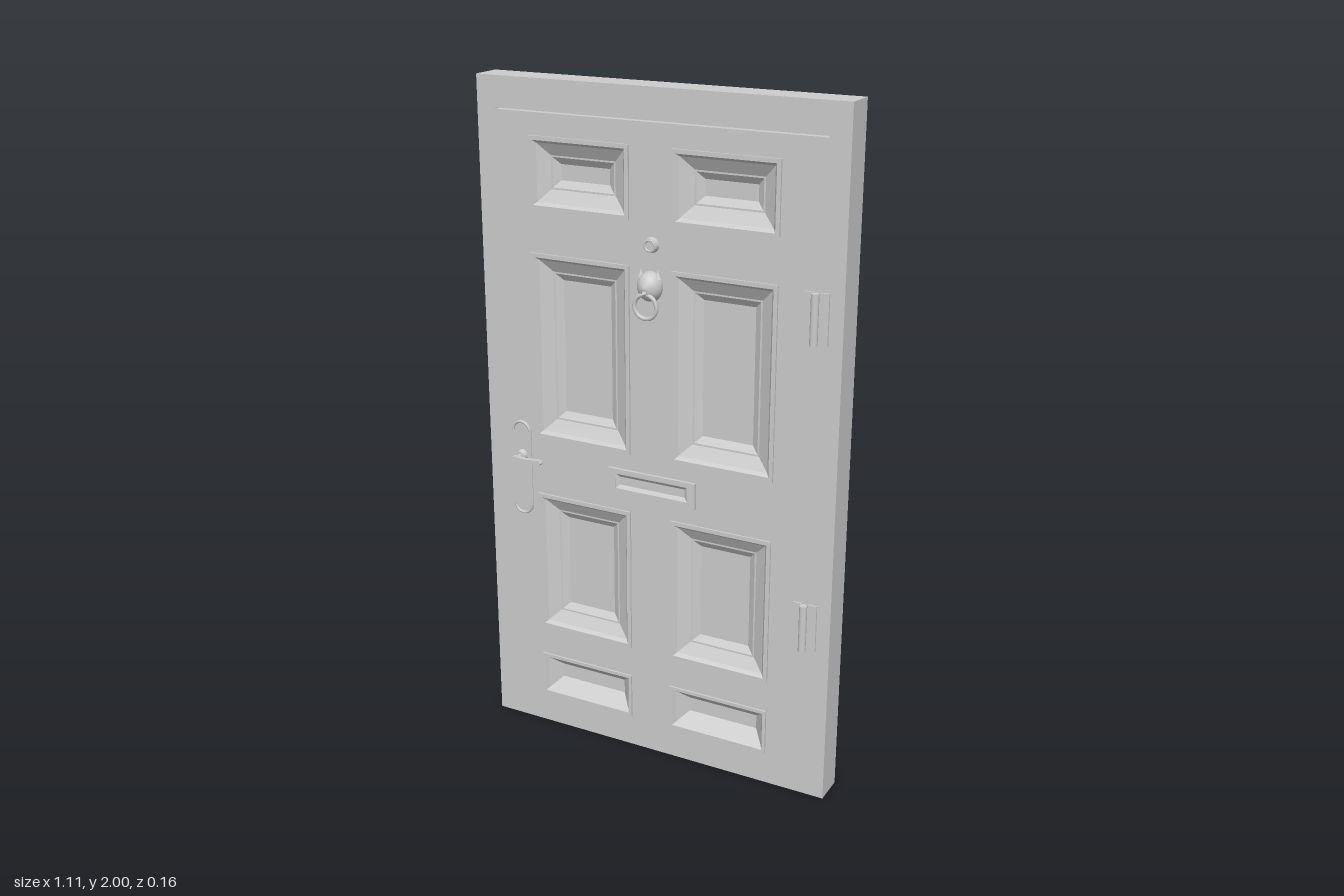
import * as THREE from 'three';

export function createModel() {
  const root = new THREE.Group();
  const mat = new THREE.MeshStandardMaterial({ color: 0xcccccc });
  const flat = new THREE.MeshStandardMaterial({ color: 0xcccccc, flatShading: true, side: THREE.DoubleSide });

  const add = (name, geo, x = 0, y = 0, z = 0, m = mat, parent = root) => {
    const mesh = new THREE.Mesh(geo, m);
    mesh.name = name;
    mesh.position.set(x, y, z);
    parent.add(mesh);
    return mesh;
  };
  // Box given by its limits
  const box = (name, x0, x1, y0, y1, z0, z1, parent = root) =>
    add(name, new THREE.BoxGeometry(x1 - x0, y1 - y0, z1 - z0),
      (x0 + x1) / 2, (y0 + y1) / 2, (z0 + z1) / 2, mat, parent);
  const trace = (path, [x0, x1, y0, y1]) =>
    path.moveTo(x0, y0).lineTo(x1, y0).lineTo(x1, y1).lineTo(x0, y1).closePath();
  // Rectangular slab with rectangular openings
  const slab = (name, rect, holes, z0, z1) => {
    const shape = trace(new THREE.Shape(), rect);
    holes.forEach(h => shape.holes.push(trace(new THREE.Path(), h)));
    return add(name, new THREE.ExtrudeGeometry(shape, { depth: z1 - z0, bevelEnabled: false }), 0, 0, z0);
  };
  // Nested rectangles following a profile of [inset, z], closed at the centre
  const steppedPanel = ([x0, x1, y0, y1], profile) => {
    const pos = [], index = [];
    profile.forEach(([d, z]) =>
      pos.push(x0 + d, y0 + d, z, x1 - d, y0 + d, z, x1 - d, y1 - d, z, x0 + d, y1 - d, z));
    for (let r = 0; r < profile.length - 1; r++) {
      for (let i = 0; i < 4; i++) {
        const a = r * 4 + i, b = r * 4 + (i + 1) % 4;
        index.push(a, b, b + 4, a, b + 4, a + 4);
      }
    }
    const c = (profile.length - 1) * 4;
    index.push(c, c + 1, c + 2, c, c + 2, c + 3);
    const geo = new THREE.BufferGeometry();
    geo.setAttribute('position', new THREE.Float32BufferAttribute(pos, 3));
    geo.setIndex(index);
    const out = geo.toNonIndexed();
    out.computeVertexNormals();
    return out;
  };

  // Frame: two jambs and a lintel around the leaf
  box('leftJamb', 0.495, 0.555, 0, 2, -0.08, 0.015);
  box('rightJamb', -0.555, -0.495, 0, 2, -0.08, 0.015);
  box('lintel', -0.495, 0.495, 1.912, 2, -0.08, 0.015);

  // Leaf with eight panel openings; only the lowest pair goes through the back
  const rows = [[0.10, 0.24], [0.335, 0.78], [0.96, 1.515], [1.64, 1.845]];
  const panels = [];
  rows.forEach(([y0, y1]) => [[-0.39, -0.075], [0.055, 0.37]]
    .forEach(([x0, x1]) => panels.push([x0, x1, y0, y1])));
  const leaf = [-0.495, 0.495, 0, 1.908];
  slab('leaf', leaf, panels, -0.03, 0.015);
  slab('leafBack', leaf, panels.slice(0, 2), -0.038, -0.03);

  // Sunken moulded panels
  const deep = [[0, 0.015], [0, 0.021], [0.012, 0.021], [0.02, 0.01], [0.055, -0.01], [0.06, -0.01], [0.08, -0.024]];
  const low = [[0, 0.015], [0, 0.021], [0.01, 0.021], [0.017, 0.01], [0.048, -0.024]];
  panels.forEach((p, i) => add('panel', steppedPanel(p, i < 2 ? low : deep), 0, 0, 0, flat));

  // Letter box with a raised rim
  slab('letterBoxRim', [-0.145, 0.135, 0.83, 0.91], [[-0.12, 0.11, 0.85, 0.895]], 0.014, 0.025);
  add('letterBoxFlap', steppedPanel([-0.12, 0.11, 0.85, 0.895], [[0, 0.024], [0.01, 0.0165]]), 0, 0, 0, flat);

  // Spy hole
  const spy = add('spyHole', new THREE.CylinderGeometry(0.019, 0.022, 0.015, 24), -0.005, 1.58, 0.0225);
  spy.rotation.x = Math.PI / 2;
  add('spyHoleRim', new THREE.TorusGeometry(0.015, 0.003, 8, 24), -0.005, 1.58, 0.03);

  // Knocker: animal head holding a ring
  const knocker = new THREE.Group();
  knocker.name = 'knocker';
  knocker.position.set(-0.005, 0, 0);
  root.add(knocker);
  const headProfile = [[0.034, 0], [0.038, 0.01], [0.034, 0.025], [0.027, 0.036], [0.014, 0.046], [0, 0.05]]
    .map(([r, y]) => new THREE.Vector2(r, y));
  const head = add('head', new THREE.LatheGeometry(headProfile, 20), 0, 1.467, 0.014, mat, knocker);
  head.rotation.x = Math.PI / 2;
  head.scale.z = 1.15;
  const snout = add('snout', new THREE.ConeGeometry(0.015, 0.03, 12), 0, 1.455, 0.06, mat, knocker);
  snout.rotation.x = Math.PI / 2;
  for (const s of [-1, 1]) {
    add('ear', new THREE.ConeGeometry(0.011, 0.024, 8), s * 0.026, 1.503, 0.028, mat, knocker);
  }
  add('ring', new THREE.TorusGeometry(0.034, 0.006, 10, 32), 0, 1.416, 0.054, mat, knocker);

  // Handle: rounded back plate, trim arcs, spindle and lever
  const handle = new THREE.Group();
  handle.name = 'handle';
  handle.position.set(-0.442, 0, 0);
  root.add(handle);
  const plate = new THREE.Shape();
  plate.absarc(0, 0.97, 0.032, 0, Math.PI).absarc(0, 0.735, 0.032, Math.PI, Math.PI * 2);
  add('backPlate', new THREE.ExtrudeGeometry(plate, { depth: 0.004, bevelEnabled: false, curveSegments: 16 }),
    0, 0, 0.014, mat, handle);
  for (const [y, start] of [[0.97, 0], [0.735, Math.PI]]) {
    const arc = add('plateTrim', new THREE.TorusGeometry(0.028, 0.004, 8, 20, Math.PI), 0, y, 0.02, mat, handle);
    arc.rotation.z = start;
  }
  const collar = add('collar', new THREE.CylinderGeometry(0.012, 0.018, 0.014, 16), 0, 0.893, 0.025, mat, handle);
  const spindle = add('spindle', new THREE.CylinderGeometry(0.007, 0.007, 0.035, 12), 0, 0.893, 0.035, mat, handle);
  collar.rotation.x = spindle.rotation.x = Math.PI / 2;
  const grip = new THREE.Shape();
  grip.moveTo(-0.01, 0.888).lineTo(0.03, 0.889).lineTo(0.08, 0.884).lineTo(0.087, 0.892)
    .lineTo(0.08, 0.9).lineTo(0.03, 0.896).lineTo(-0.01, 0.899).closePath();
  add('lever', new THREE.ExtrudeGeometry(grip, { depth: 0.015, bevelEnabled: false }), 0, 0, 0.043, mat, handle);

  // Hinges standing proud of the face: two leaves and a pin
  for (const y of [0.557, 1.447]) {
    const hinge = new THREE.Group();
    hinge.name = 'hinge';
    hinge.position.y = y;
    root.add(hinge);
    box('hingeLeaf', 0.452, 0.479, -0.07, 0.07, 0.037, 0.043, hinge);
    box('hingeLeaf', 0.497, 0.523, -0.07, 0.07, 0.037, 0.043, hinge);
    add('hingePin', new THREE.CylinderGeometry(0.011, 0.011, 0.14, 16), 0.488, 0, 0.053, mat, hinge);
  }
  return root;
}
